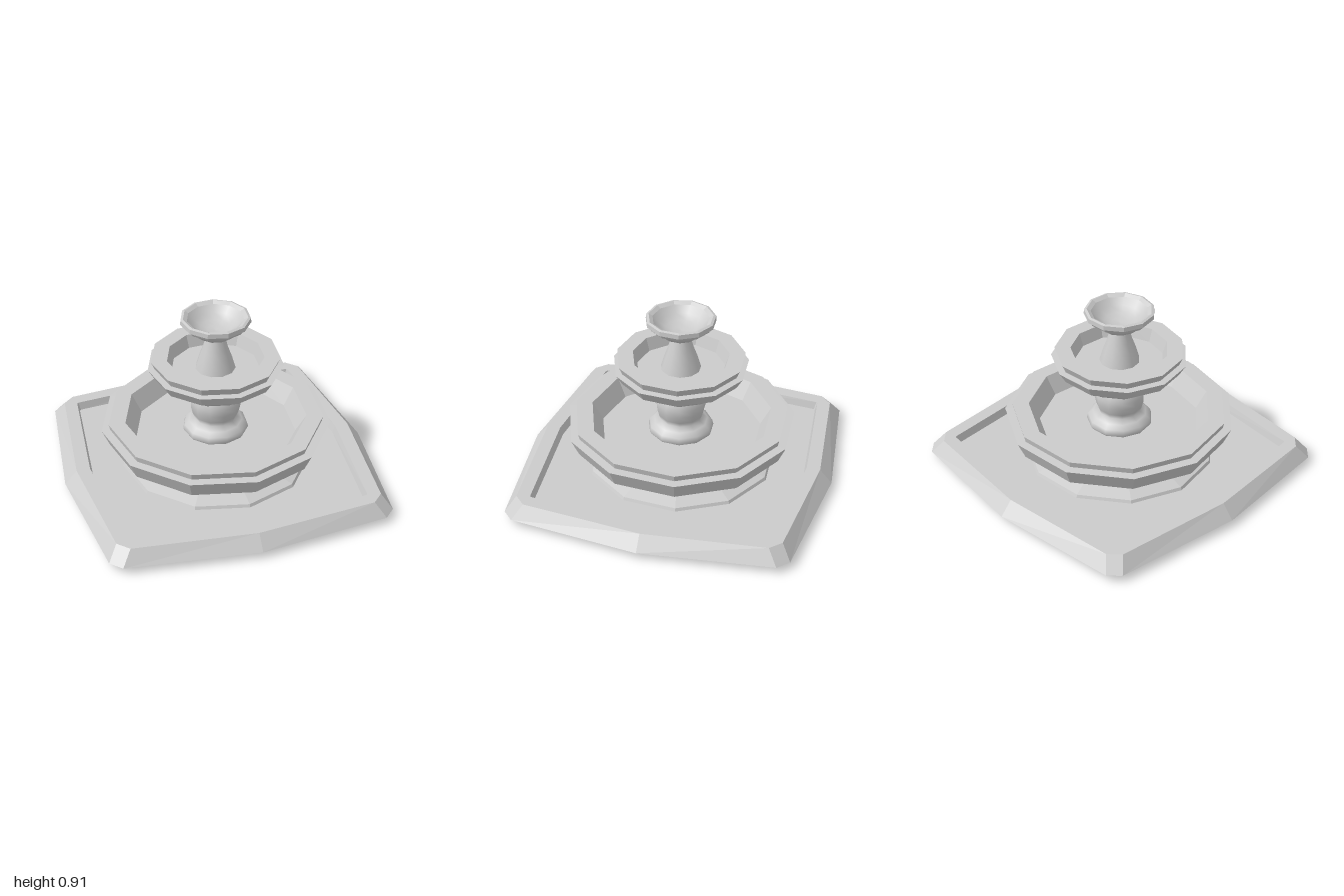
import * as THREE from 'three';

const SIDES = 11;
const flat = new THREE.MeshStandardMaterial({ color: 0xcccccc, flatShading: true });
const smooth = new THREE.MeshStandardMaterial({ color: 0xcccccc });

// Turned part from [radius, height] pairs, with one corner pointing to the back
function turned(name, profile, material) {
  const points = profile.map(([r, y]) => new THREE.Vector2(r, y));
  const mesh = new THREE.Mesh(new THREE.LatheGeometry(points, SIDES, Math.PI), material);
  mesh.name = name;
  return mesh;
}

// Diamond slab: rings of 12 points given as [corner reach, corner half width, diagonal, height]
function diamondSlab(name, rings) {
  const positions = [], index = [];
  for (const [reach, half, diagonal, y] of rings) {
    for (let k = 0; k < 4; k++) {
      const c = Math.round(Math.cos(k * Math.PI / 2)), s = Math.round(Math.sin(k * Math.PI / 2));
      for (const [x, z] of [[reach, -half], [reach, half], [diagonal, diagonal]]) {
        positions.push(c * x - s * z, y, s * x + c * z);
      }
    }
  }
  for (let i = 0; i < rings.length - 1; i++) {
    for (let j = 0; j < 12; j++) {
      const a = i * 12 + j, b = i * 12 + (j + 1) % 12;
      index.push(a, a + 12, b, b, a + 12, b + 12);
    }
  }
  const geometry = new THREE.BufferGeometry();
  geometry.setAttribute('position', new THREE.Float32BufferAttribute(positions, 3));
  geometry.setIndex(index);
  geometry.computeVertexNormals();
  const mesh = new THREE.Mesh(geometry, flat);
  mesh.name = name;
  return mesh;
}

export function createModel() {
  const group = new THREE.Group();
  group.name = 'tieredFountain';

  // Base with bevelled edge and shallow recess
  group.add(diamondSlab('base', [
    [0, 0, 0, 0.005], [0.86, 0.04, 0.5, 0.005], [1, 0.04, 0.575, 0.04],
    [0.93, 0.04, 0.53, 0.112], [0.87, 0.005, 0.48, 0.112],
    [0.855, 0.005, 0.47, 0.07], [0, 0, 0, 0.07],
  ]));

  // Lower basin on its flared foot
  group.add(turned('lowerBasin', [
    [0.5, 0.065], [0.49, 0.085], [0.38, 0.115], [0.36, 0.12], [0.49, 0.21],
    [0.56, 0.212], [0.6, 0.302], [0.555, 0.304], [0.562, 0.336],
    [0.475, 0.336], [0.42, 0.24], [0, 0.24],
  ], flat));

  // Rounded post with a collar at its foot
  group.add(turned('lowerPost', [
    [0.16, 0.235], [0.172, 0.255], [0.165, 0.28], [0.14, 0.3], [0.11, 0.318],
    [0.12, 0.345], [0.13, 0.385], [0.13, 0.42], [0.12, 0.455], [0.1, 0.485],
  ], smooth));

  // Middle bowl: smooth underside and faceted rim
  group.add(turned('middleBowlUnderside', [
    [0, 0.475], [0.15, 0.478], [0.2, 0.502], [0.25, 0.54], [0.28, 0.582],
  ], smooth));
  group.add(turned('middleBowlRim', [
    [0.275, 0.58], [0.315, 0.582], [0.35, 0.64], [0.315, 0.642], [0.332, 0.682],
    [0.25, 0.682], [0.228, 0.615], [0, 0.615],
  ], flat));

  // Tapered upper post
  group.add(turned('upperPost', [
    [0.105, 0.61], [0.085, 0.68], [0.065, 0.735], [0.047, 0.8],
  ], smooth));

  // Top bowl: smooth underside, stepped rim and smooth hollow
  group.add(turned('topBowlUnderside', [
    [0, 0.79], [0.055, 0.793], [0.09, 0.81], [0.12, 0.835], [0.132, 0.86],
  ], smooth));
  group.add(turned('topBowlRim', [
    [0.13, 0.858], [0.158, 0.862], [0.168, 0.88], [0.18, 0.885],
    [0.178, 0.908], [0.165, 0.912], [0.145, 0.9],
  ], flat));
  group.add(turned('topBowlHollow', [
    [0.145, 0.9], [0.115, 0.868], [0.08, 0.845], [0.04, 0.835], [0, 0.832],
  ], smooth));

  return group;
}
